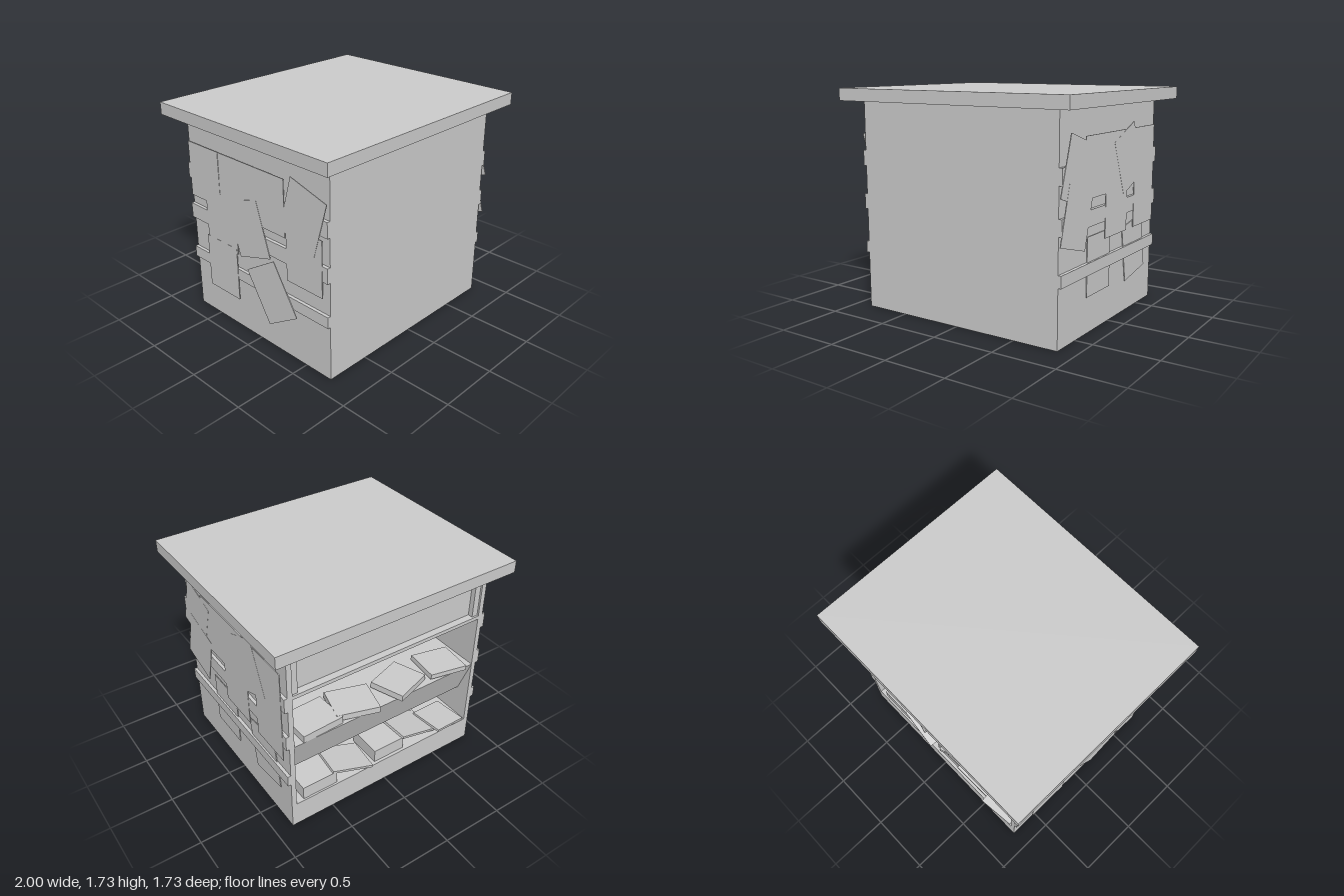
import * as THREE from 'three';

const material = new THREE.MeshStandardMaterial({ color: 0xcccccc, flatShading: true });

export function createModel() {
  const kiosk = new THREE.Group();
  kiosk.name = 'kiosk';

  const add = (name, geometry) => {
    const mesh = new THREE.Mesh(geometry, material);
    mesh.name = name;
    kiosk.add(mesh);
    return mesh;
  };
  // box given by its limits on each axis
  const box = (name, x0, x1, y0, y1, z0, z1) => {
    const mesh = add(name, new THREE.BoxGeometry(x1 - x0, y1 - y0, z1 - z0));
    mesh.position.set((x0 + x1) / 2, (y0 + y1) / 2, (z0 + z1) / 2);
    return mesh;
  };

  // shell: closed front, open back between two side walls
  box('roof', -1, 1, 1.63, 1.725, -0.865, 0.865);
  box('frontBody', -0.86, 0.86, 0, 1.63, -0.22, 0.745);
  box('base', -0.82, 0.82, 0, 0.21, -0.745, -0.22);
  box('headerPanel', -0.82, 0.82, 1.25, 1.63, -0.69, -0.22);
  box('headerLedge', -0.82, 0.82, 1.22, 1.25, -0.745, -0.22);
  for (const s of [-1, 1]) {
    const wall = box('sideWall', -0.02, 0.02, 0, 1.63, -0.745, -0.22);
    wall.position.x = s * 0.84;
    const post = box('cornerPost', -0.025, 0.025, 1.25, 1.63, -0.73, -0.69);
    post.position.x = s * 0.795;
    // trim bands across the side
    for (const [y0, y1] of [[0.44, 0.53], [0.79, 0.91], [1.13, 1.25]]) {
      const band = box('sideBand', -0.0125, 0.0125, y0, y1, -0.745, 0.745);
      band.position.x = s * 0.8725;
    }
  }

  // shelf with a fascia that leans inward at the bottom
  const profile = new THREE.Shape([
    [-0.745, 0.79], [-0.63, 0.48], [-0.22, 0.48], [-0.22, 0.79],
  ].map(([z, y]) => new THREE.Vector2(z, y)));
  const shelfGeometry = new THREE.ExtrudeGeometry(profile, { depth: 1.64, bevelEnabled: false });
  shelfGeometry.translate(0, 0, -0.82).rotateY(-Math.PI / 2);
  add('middleShelf', shelfGeometry);

  // posters on the sides: centre z, centre y, lean, distance from the middle
  const posters = {
    1: [
      [0.255, 1.21, 0, 0.884], [-0.095, 1.21, 0, 0.884], [-0.525, 1.21, 0, 0.884],
      [-0.0525, 0.88, 0, 0.884], [-0.525, 0.88, 0, 0.884],
      [-0.245, 1.21, 0.39, 0.885], [0.535, 1.205, -0.31, 0.885], [0.54, 0.89, -0.27, 0.886],
      [0.185, 0.495, 0, 0.868], [-0.4, 0.49, 0.17, 0.868],
    ],
    '-1': [
      [-0.545, 1.21, 0, 0.884], [-0.19, 1.21, 0, 0.884], [0.16, 1.21, 0, 0.884],
      [-0.37, 0.88, 0, 0.884], [0.52, 0.88, 0, 0.884],
      [0.515, 1.21, 0.28, 0.886], [-0.06, 0.92, -0.3, 0.886],
      [0.175, 0.48, -0.55, 0.889], [-0.385, 0.48, 0, 0.885],
    ],
  };
  for (const s of [1, -1]) {
    for (const [z, y, lean, x] of posters[s]) {
      const poster = add('poster', new THREE.BoxGeometry(0.006, 0.44, 0.35));
      poster.position.set(s * x, y, z);
      poster.rotation.x = lean;
    }
  }

  // papers standing along the back of the upper compartment
  for (let i = 0; i < 4; i++) {
    const x = -0.8 + i * 0.42;
    box('standingPaper', x, x + 0.38, 0.79, 1.14, -0.235, -0.22);
  }

  // stacks lying on the shelves: x, y, z, width, height, turn, tilt
  const stacks = [
    [0.58, 0.82, -0.6, 0.34, 0.06, 0.05, 0],
    [0.24, 0.82, -0.61, 0.34, 0.05, -0.25, 0.04],
    [-0.19, 0.82, -0.61, 0.33, 0.05, 0.35, 0.04],
    [-0.59, 0.82, -0.61, 0.33, 0.04, -0.1, 0.1],
    [0.6, 0.265, -0.59, 0.3, 0.11, 0, 0],
    [0.3, 0.28, -0.61, 0.36, 0.02, -0.1, 0.28],
    [-0.05, 0.265, -0.58, 0.28, 0.11, 0, 0],
    [-0.34, 0.285, -0.59, 0.36, 0.02, 0.05, 0.28],
    [-0.64, 0.24, -0.62, 0.3, 0.02, 0.12, 0.14],
  ];
  for (const [x, y, z, width, height, turn, tilt] of stacks) {
    const stack = add('paperStack', new THREE.BoxGeometry(width, height, 0.28));
    stack.position.set(x, y, z);
    stack.rotation.set(0, turn, tilt, 'YXZ');
  }
  return kiosk;
}
